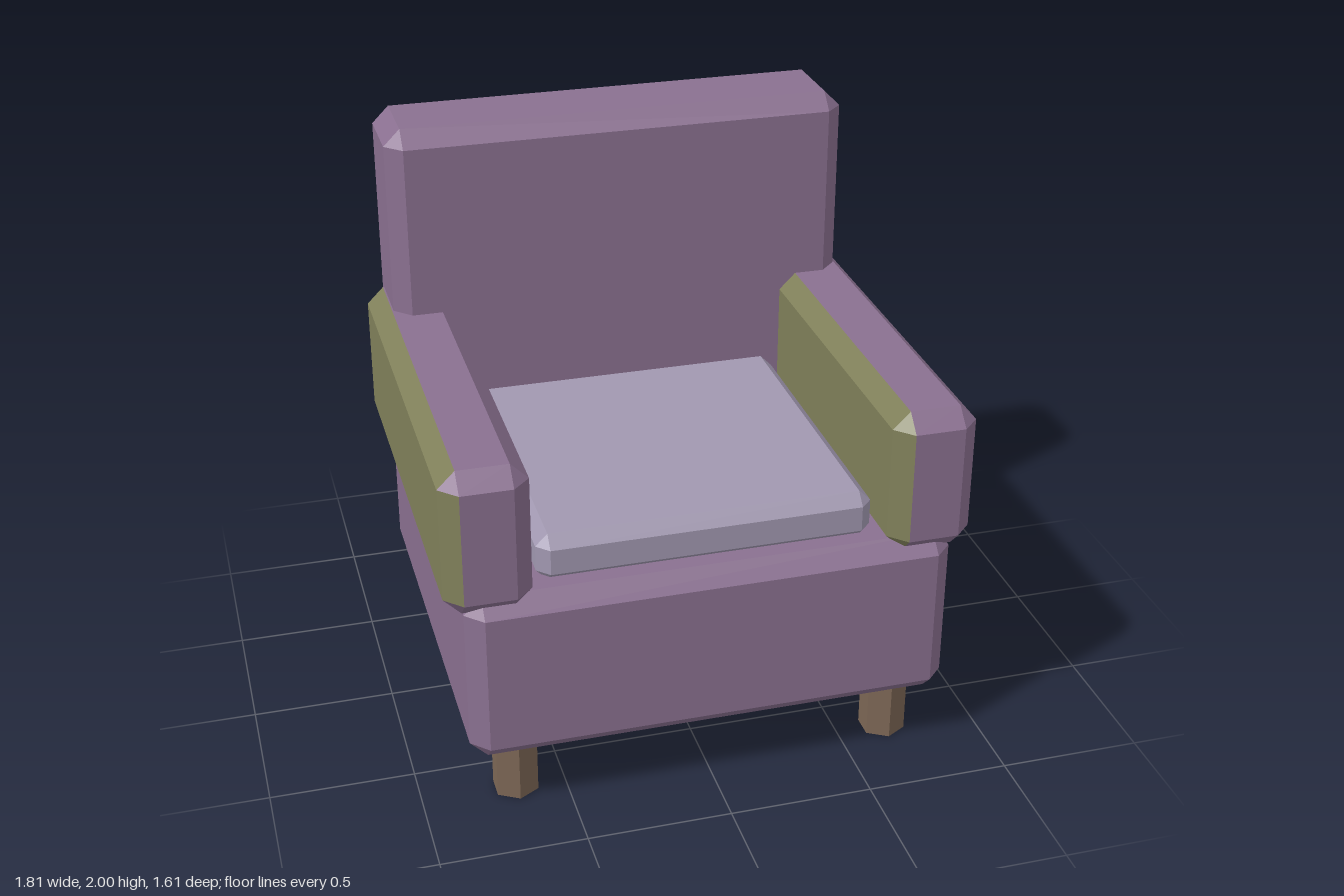
import * as THREE from 'three';
import { ConvexGeometry } from 'three/addons/geometries/ConvexGeometry.js';

const material = (color) => new THREE.MeshStandardMaterial({ color, flatShading: true });

// Box between two corners with every edge cut by a chamfer c
function chamferBox(min, max, c) {
  const lo = new THREE.Vector3(...min), hi = new THREE.Vector3(...max);
  const centre = lo.clone().add(hi).multiplyScalar(0.5);
  const half = hi.clone().sub(lo).multiplyScalar(0.5);
  const points = [];
  for (const sx of [-1, 1]) for (const sy of [-1, 1]) for (const sz of [-1, 1]) {
    for (const axis of ['x', 'y', 'z']) {
      const p = half.clone().subScalar(c);
      p[axis] = half[axis];
      points.push(p.multiply(new THREE.Vector3(sx, sy, sz)).add(centre));
    }
  }
  return new ConvexGeometry(points);
}

// Split the faces into material groups: 1 where the normal passes the test, else 0
function groupFaces(geometry, test) {
  const normals = geometry.attributes.normal;
  for (let i = 0; i < normals.count; i += 3) {
    const n = new THREE.Vector3().fromBufferAttribute(normals, i);
    geometry.addGroup(i, 3, test(n) ? 1 : 0);
  }
  return geometry;
}

export function createModel() {
  const model = new THREE.Group();
  model.name = 'armchair';
  const fabric = material(0x8a7090);
  const olive = material(0x80805a);
  const cushionFabric = material(0xa198b0);
  const wood = material(0x7d6755);

  const add = (name, geometry, mat) => {
    const mesh = new THREE.Mesh(geometry, mat);
    mesh.name = name;
    model.add(mesh);
    return mesh;
  };

  // Upholstered body
  add('seatBase', chamferBox([-0.84, 0.215, -0.77], [0.84, 0.84, 0.805], 0.06), fabric);
  add('backrest', chamferBox([-0.84, 0.77, -0.805], [0.84, 2, -0.43], 0.06), fabric);
  add('seatCushion', chamferBox([-0.58, 0.815, -0.46], [0.58, 0.99, 0.7], 0.042), cushionFabric);

  // Armrests: the -x side of each is olive, on the left arm with its chamfers
  const rightArm = chamferBox([-0.905, 0.79, -0.77], [-0.61, 1.315, 0.805], 0.06);
  add('rightArm', groupFaces(rightArm, (n) => n.x < -0.65), [fabric, olive]);
  const leftArm = chamferBox([0.61, 0.79, -0.77], [0.905, 1.315, 0.805], 0.06);
  add('leftArm', groupFaces(leftArm, (n) => n.x < -0.5), [fabric, olive]);

  // Four hexagonal legs
  const legGeometry = new THREE.CylinderGeometry(0.082, 0.082, 0.24, 6);
  for (const [side, x] of [['right', -0.672], ['left', 0.672]]) {
    for (const [end, z] of [['Front', 0.65], ['Back', -0.613]]) {
      add(`${side}${end}Leg`, legGeometry, wood).position.set(x, 0.12, z);
    }
  }
  return model;
}
